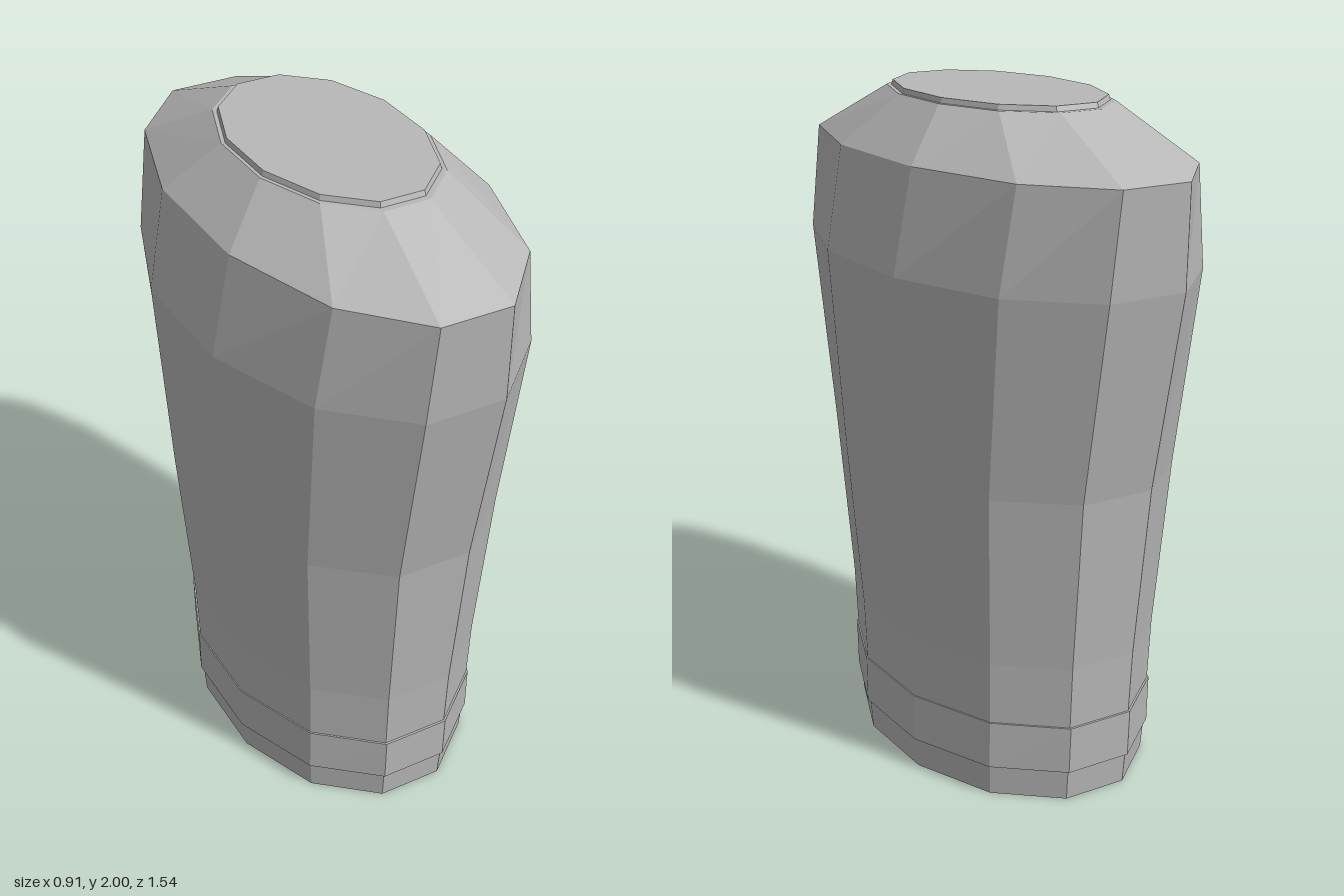
import * as THREE from 'three';

const SIDES = 12;
const CORNER = Math.cos(Math.PI / SIDES);

// Corner of an elliptical ring [y, halfWidth, halfDepth], with flats facing the axes
function corner([y, w, d], i) {
  const a = ((i + 0.5) / SIDES) * Math.PI * 2;
  return [(Math.sin(a) * w) / CORNER, y, (Math.cos(a) * d) / CORNER];
}

// Skin the rings from bottom to top, optionally closing the ends
function loft(rings, capBottom, capTop) {
  const pos = [];
  const top = rings[rings.length - 1];
  for (let i = 0; i < SIDES; i++) {
    for (let k = 0; k < rings.length - 1; k++) {
      const a = corner(rings[k], i), b = corner(rings[k], i + 1);
      const c = corner(rings[k + 1], i + 1), d = corner(rings[k + 1], i);
      pos.push(...a, ...b, ...c, ...a, ...c, ...d);
    }
    if (capBottom) pos.push(0, rings[0][0], 0, ...corner(rings[0], i + 1), ...corner(rings[0], i));
    if (capTop) pos.push(0, top[0], 0, ...corner(top, i), ...corner(top, i + 1));
  }
  const geometry = new THREE.BufferGeometry();
  geometry.setAttribute('position', new THREE.Float32BufferAttribute(pos, 3));
  geometry.computeVertexNormals();
  return geometry;
}

export function createModel() {
  const group = new THREE.Group();
  const grey = new THREE.MeshStandardMaterial({ color: 0xb8b8b8 });
  grey.name = 'grey';
  const add = (name, geometry) => {
    const mesh = new THREE.Mesh(geometry, grey);
    mesh.name = name;
    group.add(mesh);
  };

  // Tapered body with a sloping shoulder
  add('body', loft([
    [0, 0.372, 0.545],
    [0.095, 0.379, 0.554],
    [0.43, 0.39, 0.575],
    [0.95, 0.428, 0.63],
    [1.54, 0.456, 0.745],
    [1.84, 0.4, 0.772],
    [1.985, 0.26, 0.428],
  ], true, true));

  // Slightly raised band around the foot
  add('footBand', loft([
    [0.095, 0.378, 0.553],
    [0.095, 0.387, 0.563],
    [0.24, 0.387, 0.57],
    [0.24, 0.38, 0.56],
  ], false, false));

  // Low flat cap on the top
  add('topCap', loft([
    [1.985, 0.25, 0.408],
    [2, 0.246, 0.403],
  ], false, true));

  return group;
}
